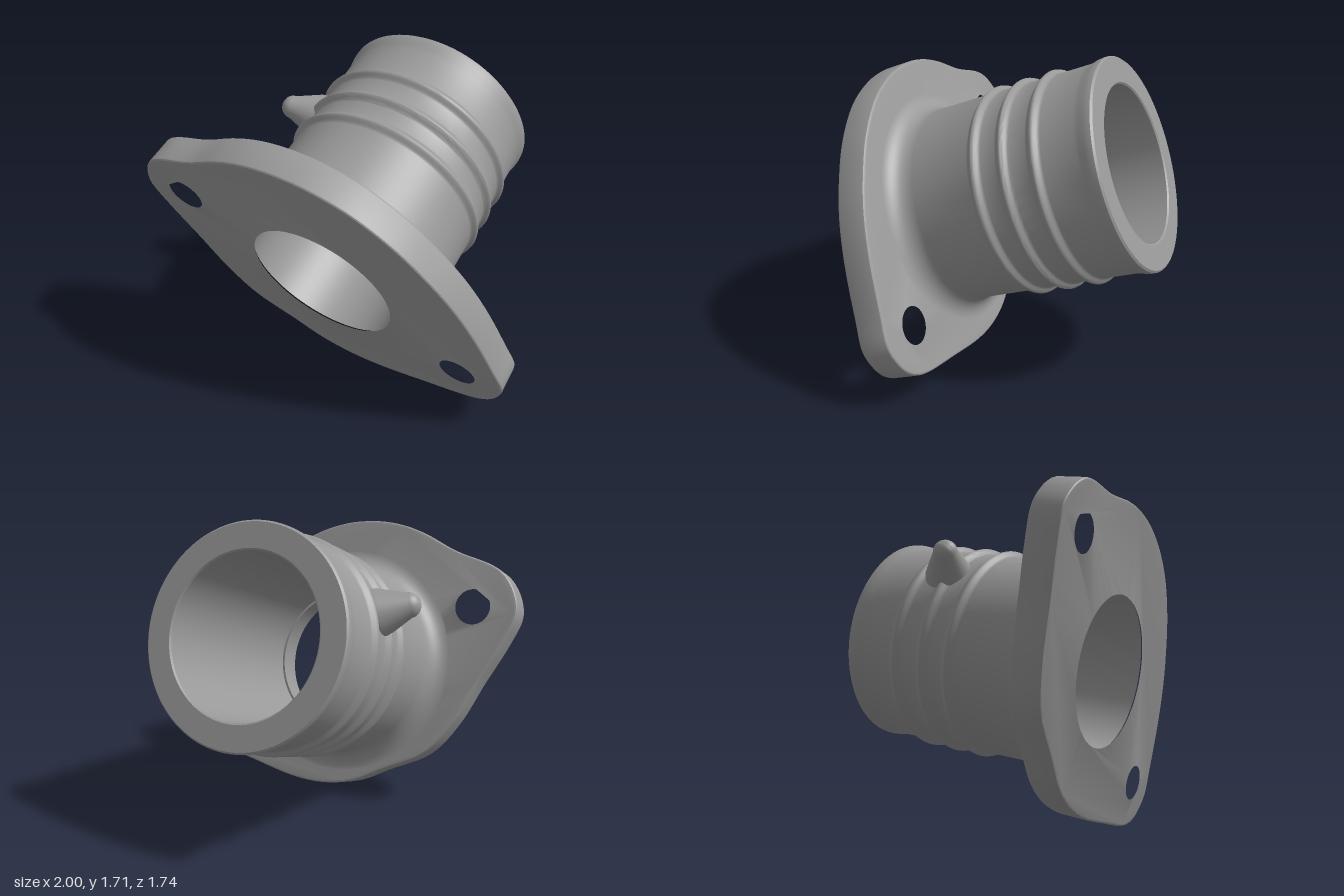
import * as THREE from 'three';
import { toCreasedNormals } from 'three/addons/utils/BufferGeometryUtils.js';

const BORE = 0.425;
const TILT = THREE.MathUtils.degToRad(20);
const CENTRE_Y = 0.72, CENTRE_Z = 0.58;

export function createModel() {
  const grey = new THREE.MeshStandardMaterial({ color: 0x999999 });
  grey.name = 'cast grey';

  const model = new THREE.Group();
  model.name = 'flangedPipe';

  // Tilted frame: the flange face is z = 0, the pipe runs along -z
  const body = new THREE.Group();
  body.name = 'tiltedBody';
  body.position.set(0, CENTRE_Y, CENTRE_Z);
  body.rotation.x = TILT;
  model.add(body);

  const add = (name, geometry, crease) => {
    const mesh = new THREE.Mesh(toCreasedNormals(geometry, crease), grey);
    mesh.name = name;
    body.add(mesh);
    return mesh;
  };

  // Flange: two-eared plate, outline as x and upright height of the front rim
  const rim = [
    [-1, 1.09], [-0.97, 1.2], [-0.9, 1.29], [-0.82, 1.335], [-0.59, 1.397], [-0.39, 1.477],
    [-0.25, 1.515], [-0.12, 1.53], [0.0, 1.527], [0.15, 1.502], [0.35, 1.425], [0.545, 1.28],
    [0.68, 1.125], [0.79, 0.96], [0.88, 0.76], [0.965, 0.48], [1, 0.34], [0.975, 0.245],
    [0.92, 0.165], [0.82, 0.105], [0.49, 0.043], [0.2, 0.003], [0.0, 0.008], [-0.18, 0.052],
    [-0.36, 0.15], [-0.6, 0.285], [-0.74, 0.475], [-0.845, 0.71], [-0.95, 0.935],
  ];
  const curve = new THREE.CatmullRomCurve3(
    rim.map(([x, y]) => new THREE.Vector3(x, (y - CENTRE_Y) / Math.cos(TILT), 0)), true);
  const outline = new THREE.Shape(
    curve.getPoints(180).slice(0, -1).map((p) => new THREE.Vector2(p.x, p.y)));
  const hole = (x, y, r) => outline.holes.push(new THREE.Path().absarc(x, y, r, 0, Math.PI * 2, true));
  hole(0, 0, BORE + 0.001);
  hole(-0.745, 0.407, 0.115);
  hole(0.745, -0.407, 0.115);
  const bevel = 0.014, thickness = 0.172;
  const flange = new THREE.ExtrudeGeometry(outline, {
    depth: thickness - 2 * bevel, bevelThickness: bevel, bevelSize: bevel,
    bevelOffset: -bevel, bevelSegments: 3, curveSegments: 40,
  });
  flange.translate(0, 0, bevel - thickness);
  add('flange', flange, 0.4);

  // Pipe: fillet, three ribs, end lip and bore in one turned profile
  const profile = [];
  const point = (r, w) => profile.push(new THREE.Vector2(r, w));
  for (let i = 0; i <= 10; i++) {
    const t = (i / 10) * Math.PI / 2;
    point(0.675 - 0.117 * Math.sin(t), 0.288 - 0.117 * Math.cos(t));
  }
  for (const w of [0.67, 0.835, 1.01]) {
    for (let i = 0; i <= 12; i++) {
      const s = i / 6 - 1;
      point(0.56 + 0.028 * (0.5 + 0.5 * Math.cos(Math.PI * s)), w + 0.042 * s);
    }
  }
  point(0.562, 1.235);
  point(0.565, 1.255);
  point(0.573, 1.285);
  point(0.576, 1.31);
  point(0.575, 1.325);
  point(0.565, 1.335);
  point(BORE + 0.008, 1.335);
  point(BORE, 1.327);
  point(BORE, 0.012);
  add('ribbedPipe', new THREE.LatheGeometry(profile, 96).rotateX(-Math.PI / 2), 0.6);

  // Locating peg: tapered, round-ended, on the side of the pipe
  const base = new THREE.Vector3(-0.47, 0.23, -0.87);
  const tip = new THREE.Vector3(-0.63, 0.3, -0.83);
  const length = base.distanceTo(tip);
  const pegProfile = [new THREE.Vector2(0.13, 0), new THREE.Vector2(0.125, 0.04)];
  for (let i = 0; i <= 8; i++) {
    const t = (i / 8) * Math.PI / 2;
    pegProfile.push(new THREE.Vector2(0.066 * Math.cos(t), length + 0.062 * Math.sin(t)));
  }
  const peg = add('locatingPeg', new THREE.LatheGeometry(pegProfile, 32), 0.8);
  peg.position.copy(base);
  peg.quaternion.setFromUnitVectors(new THREE.Vector3(0, 1, 0), tip.clone().sub(base).normalize());

  return model;
}
